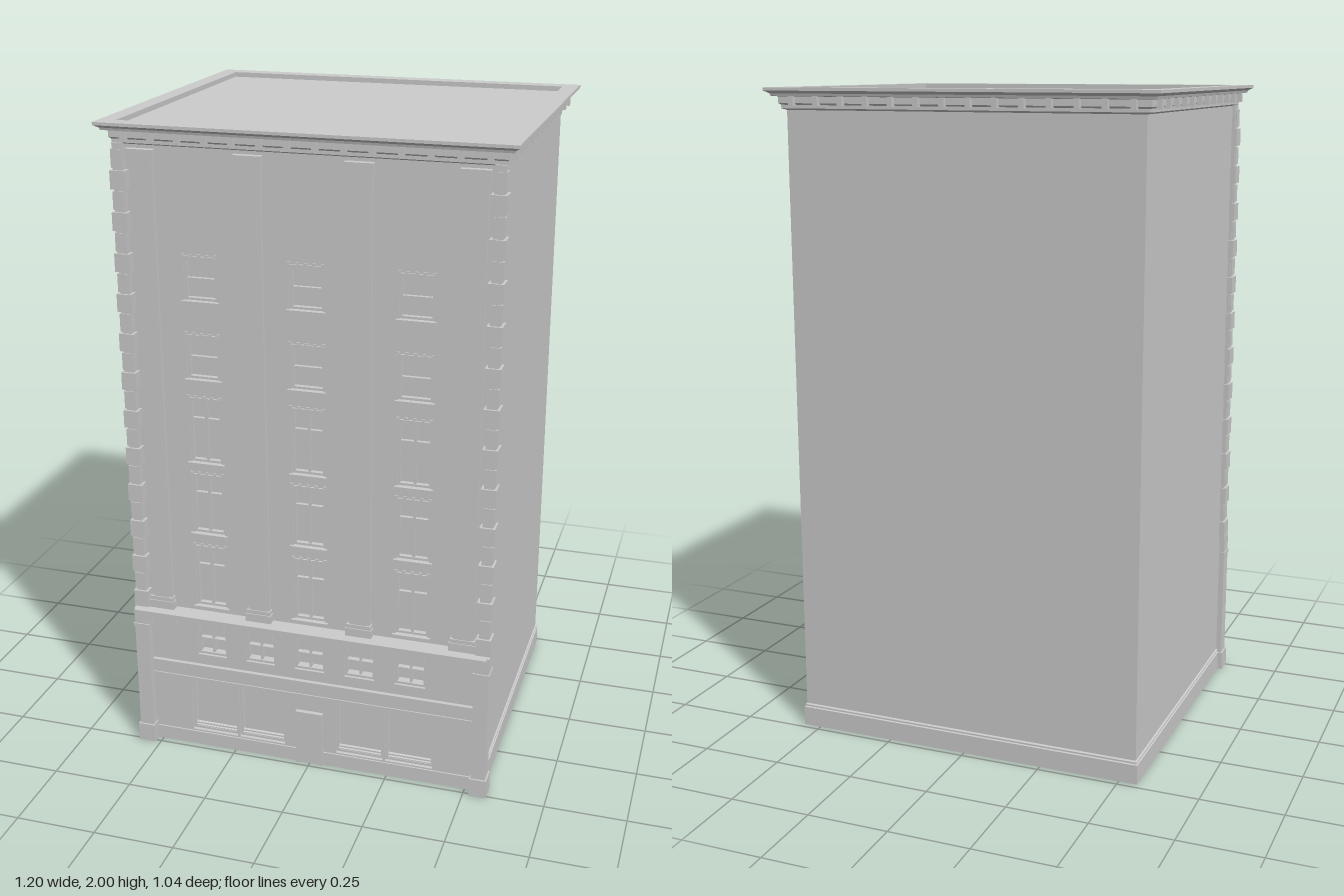
import * as THREE from 'three';

const HX = 0.55, BACK = -0.475, FRONT = 0.47; // main block outline

export function createModel() {
  const model = new THREE.Group();
  const stone = new THREE.MeshStandardMaterial({ color: 0xcccccc });
  stone.name = 'paleStone';

  const add = (name, geometry, parent = model) => {
    const mesh = new THREE.Mesh(geometry, stone);
    mesh.name = name;
    parent.add(mesh);
    return mesh;
  };
  // Box given by its min and max along each axis
  const box = (name, x0, x1, y0, y1, z0, z1, parent) => {
    const mesh = add(name, new THREE.BoxGeometry(x1 - x0, y1 - y0, z1 - z0), parent);
    mesh.position.set((x0 + x1) / 2, (y0 + y1) / 2, (z0 + z1) / 2);
    return mesh;
  };
  const group = (name) => {
    const g = new THREE.Group();
    g.name = name;
    model.add(g);
    return g;
  };
  // Moulding swept round a rectangle; profile is [outward, y] from bottom to top
  const ringMoulding = (name, x0, x1, z0, z1, profile, parent) => {
    const pos = [];
    const ring = ([o, y]) => [
      [x1 + o, y, z1 + o], [x1 + o, y, z0 - o], [x0 - o, y, z0 - o], [x0 - o, y, z1 + o]];
    for (let p = 0; p < profile.length - 1; p++) {
      const lo = ring(profile[p]), hi = ring(profile[p + 1]);
      for (let i = 0; i < 4; i++) {
        const j = (i + 1) % 4;
        pos.push(...lo[i], ...lo[j], ...hi[j], ...lo[i], ...hi[j], ...hi[i]);
      }
    }
    const g = new THREE.BufferGeometry();
    g.setAttribute('position', new THREE.Float32BufferAttribute(pos, 3));
    g.computeVertexNormals();
    return add(name, g, parent);
  };

  // Main block, with the roof sunk slightly behind the cornice
  box('mainBlock', -HX, HX, 0, 1.985, BACK, 0.44);
  box('frontHead', -HX, HX, 1.9, 1.985, 0.43, FRONT);
  ringMoulding('plinth', -HX, HX, BACK, 0.455,
    [[0, 0], [0.007, 0], [0.007, 0.06], [0.004, 0.063], [0.004, 0.068], [0, 0.072]]);

  // Facade wall with window openings: [x, bottom, top, width]
  const rows = [[0.5, 0.7], [0.75, 0.94], [0.985, 1.185], [1.25, 1.38], [1.49, 1.615]];
  const windows = [];
  for (const x of [-0.32, 0, 0.32]) for (const [b, t] of rows) windows.push([x, b, t, 0.1]);
  const rect = (S, x0, x1, y0, y1) => {
    const s = new S();
    s.moveTo(x0, y0).lineTo(x1, y0).lineTo(x1, y1).lineTo(x0, y1).closePath();
    return s;
  };
  const wall = (name, y0, y1, openings, front) => {
    const shape = rect(THREE.Shape, -HX, HX, y0, y1);
    for (const [x, b, t, w] of openings) shape.holes.push(rect(THREE.Path, x - w / 2, x + w / 2, b, t));
    const depth = front - 0.44;
    add(name, new THREE.ExtrudeGeometry(shape, { depth, bevelEnabled: false })).position.z = 0.44;
  };
  wall('upperFacade', 0.46, 1.93, windows, 0.462);

  // Window frames, sashes, sills and lintels
  const windowParts = group('upperWindows');
  const frame = (x, b, t, w, z, bars, parent) => {
    const h = w / 2, f = 0.007;
    box('frameLeft', x + h - f, x + h, b, t, 0.44, z, parent);
    box('frameRight', x - h, x - h + f, b, t, 0.44, z, parent);
    box('frameTop', x - h, x + h, t - f, t, 0.44, z, parent);
    box('frameBottom', x - h, x + h, b, b + f, 0.44, z, parent);
    for (const k of bars) {
      const y = b + (t - b) * k;
      box('crossBar', x - h, x + h, y - 0.003, y + 0.003, 0.44, z - 0.003, parent);
    }
  };
  windows.forEach(([x, b, t, w]) => {
    const tall = t - b > 0.15;
    frame(x, b, t, w, 0.455, [tall ? 0.68 : 0.5], windowParts);
    if (tall) box('mullion', x - 0.004, x + 0.004, b, t, 0.44, 0.453, windowParts);
    box('sill', x - 0.058, x + 0.058, b - 0.01, b, 0.45, 0.472, windowParts);
    box('lintel', x - 0.053, x + 0.053, t, t + 0.008, 0.45, 0.468, windowParts);
    for (const k of [-0.05, -0.025, 0, 0.025, 0.05])
      box('lintelBlock', x + k - 0.005, x + k + 0.005, t + 0.004, t + 0.014, 0.45, 0.467, windowParts);
  });

  // Giant pilasters with stepped bases and capitals
  const pilasters = group('pilasters');
  for (const x of [-0.48, -0.16, 0.16, 0.48]) {
    const step = (name, h, y0, y1, z) => box(name, x - h, x + h, y0, y1, 0.45, z, pilasters);
    step('pilasterBase', 0.041, 0.48, 0.508, 0.488);
    step('pilasterBaseRoll', 0.038, 0.508, 0.52, 0.485);
    step('pilasterShaft', 0.034, 0.52, 1.89, 0.478);
    step('pilasterPanel', 0.026, 0.52, 1.88, 0.482);
    step('capitalNeck', 0.037, 1.88, 1.9, 0.485);
    step('capital', 0.042, 1.9, 1.925, 0.49);
  }

  // Corner quoins, alternately long and short
  const quoins = group('quoins');
  const courses = 24, qh = (1.925 - 0.48) / courses;
  for (const s of [-1, 1]) for (let i = 0; i < courses; i++) {
    const long = i % 2 === 0;
    const xa = s * (long ? 0.522 : 0.532), xb = s * (long ? 0.568 : 0.564);
    const y = 0.48 + i * qh;
    box('quoin', Math.min(xa, xb), Math.max(xa, xb), y + 0.003, y + qh - 0.003,
      long ? 0.445 : 0.455, long ? 0.495 : 0.491, quoins);
  }
  for (const s of [-1, 1]) box('quoinCore', s * 0.545 - 0.015, s * 0.545 + 0.015, 0.48, 1.94, 0.45, 0.488, quoins);

  // Ground storey: wall, shop openings and mezzanine windows
  const mezzanine = [-0.32, -0.16, 0, 0.16, 0.32].map((x) => [x, 0.33, 0.405, 0.096]);
  const shops = [[-0.32, 0.05, 0.235, 0.152], [-0.16, 0.05, 0.235, 0.152],
    [0.16, 0.05, 0.235, 0.152], [0.32, 0.05, 0.235, 0.152]];
  wall('groundFacade', 0, 0.46, [...mezzanine, ...shops], 0.475);
  const street = group('streetFront');
  mezzanine.forEach(([x, b, t, w]) => {
    frame(x, b, t, w, 0.466, [0.7], street);
    box('mullion', x - 0.003, x + 0.003, b, t, 0.44, 0.462, street);
  });
  shops.forEach(([x, b, t, w]) => frame(x, b, t, w, 0.464, [], street));
  box('signBand', -0.52, 0.52, 0.245, 0.295, 0.46, 0.482, street);
  box('signBandTop', -0.52, 0.52, 0.29, 0.296, 0.46, 0.488, street);
  box('signBandFoot', -0.52, 0.52, 0.243, 0.249, 0.46, 0.486, street);
  box('stallRiser', -0.52, 0.52, 0, 0.045, 0.46, 0.48, street);

  // Entrance
  box('door', -0.036, 0.036, 0, 0.178, 0.46, 0.484, street);
  for (const s of [-1, 1]) box('doorPost', s * 0.039 - 0.004, s * 0.039 + 0.004, 0, 0.186, 0.46, 0.489, street);
  box('doorHead', -0.043, 0.043, 0.178, 0.186, 0.46, 0.489, street);

  // Ground-storey corner piers
  const piers = group('cornerPiers');
  for (const s of [-1, 1]) {
    const pier = (name, xi, xo, y0, y1, z0, z1) =>
      box(name, Math.min(s * xi, s * xo), Math.max(s * xi, s * xo), y0, y1, z0, z1, piers);
    pier('pierFoot', 0.518, 0.572, 0, 0.06, 0.45, 0.51);
    pier('pierShaft', 0.522, 0.567, 0.06, 0.48, 0.455, 0.504);
    pier('pierCollar', 0.519, 0.57, 0.415, 0.427, 0.452, 0.508);
  }

  // Cornice above the ground storey, with dentils
  const belt = group('beltCornice');
  box('beltFrieze', -0.522, 0.522, 0.435, 0.458, 0.45, 0.484, belt);
  box('beltMould', -0.545, 0.545, 0.458, 0.468, 0.45, 0.505, belt);
  box('beltShelf', -0.56, 0.56, 0.468, 0.482, 0.45, 0.52, belt);
  for (let i = 0; i < 14; i++) {
    const x = -0.52 + i * 0.08;
    box('dentil', x - 0.008, x + 0.008, 0.425, 0.458, 0.46, 0.5, belt);
  }

  // Roof cornice round all four sides, with brackets
  const cornice = group('roofCornice');
  ringMoulding('corniceMoulding', -HX, HX, BACK, FRONT,
    [[0, 1.935], [0.012, 1.94], [0.012, 1.95], [0.018, 1.955], [0.018, 1.974], [0.034, 1.976],
      [0.036, 1.983], [0.046, 1.989], [0.05, 1.991], [0.05, 2], [0, 2], [0, 1.984]], cornice);
  for (let i = 0; i < 14; i++) {
    const x = -0.52 + i * 0.08;
    box('bracket', x - 0.008, x + 0.008, 1.948, 1.977, FRONT, FRONT + 0.032, cornice);
    box('bracket', x - 0.008, x + 0.008, 1.948, 1.977, BACK - 0.032, BACK, cornice);
  }
  for (const s of [-1, 1]) for (let i = 0; i < 12; i++) {
    const z = -0.44 + i * 0.08, x = s * (HX + 0.016);
    box('bracket', x - 0.016, x + 0.016, 1.948, 1.977, z - 0.008, z + 0.008, cornice);
  }
  return model;
}
